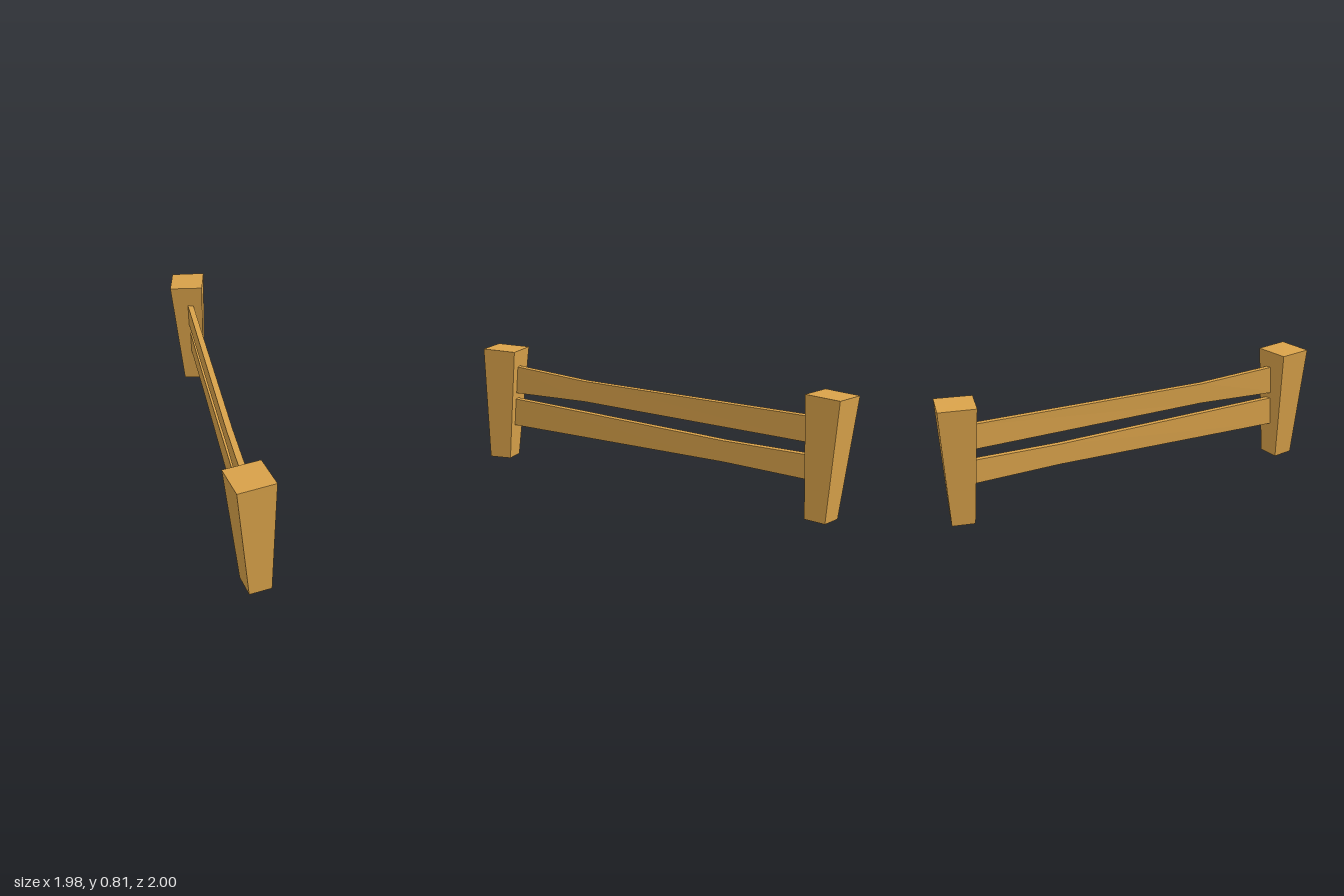
import * as THREE from 'three';

// Joins four-cornered cross-sections into a closed, flat-shaded solid.
// Corners run counter-clockwise as seen from the last section.
function loft(name, sections, material) {
  const pos = [];
  const quad = (a, b, c, d) => [a, b, c, a, c, d].forEach((p) => pos.push(...p));
  for (let i = 0; i < sections.length - 1; i++) {
    const lo = sections[i], hi = sections[i + 1];
    for (let j = 0; j < 4; j++) {
      const k = (j + 1) % 4;
      quad(lo[j], lo[k], hi[k], hi[j]);
    }
  }
  quad(...[...sections[0]].reverse());
  quad(...sections[sections.length - 1]);
  const geometry = new THREE.BufferGeometry();
  geometry.setAttribute('position', new THREE.Float32BufferAttribute(pos, 3));
  geometry.computeVertexNormals();
  const mesh = new THREE.Mesh(geometry, material);
  mesh.name = name;
  return mesh;
}

// A rail station on the fence diagonal: u along it, bottom and top heights,
// and how far the face stands forward at the bottom and the top.
const DEPTH = 0.055;
function station(u, y0, y1, s0, s1) {
  const p = (y, s) => [u + s / 2, y, -u + s / 2];
  return [p(y0, s0), p(y0, s0 - DEPTH), p(y1, s1 - DEPTH), p(y1, s1)];
}

export function createModel() {
  const group = new THREE.Group();
  group.name = 'fence';
  const wood = new THREE.MeshStandardMaterial({ color: 0xd9a24a, flatShading: true });
  wood.name = 'honey wood';

  // Tapered posts, narrower at the foot and slightly tilted
  group.add(loft('rightPost', [
    [[-0.79, 0.038, 0.985], [-0.705, 0.04, 0.86], [-0.82, 0.03, 0.78], [-0.905, 0.033, 0.905]],
    [[-0.80, 0.813, 0.995], [-0.67, 0.805, 0.805], [-0.86, 0.795, 0.675], [-0.99, 0.802, 0.865]],
  ], wood));
  group.add(loft('leftPost', [
    [[0.825, 0.008, -0.695], [0.945, 0.013, -0.775], [0.87, 0.003, -0.895], [0.75, 0.003, -0.815]],
    [[0.79, 0.785, -0.68], [0.985, 0.785, -0.81], [0.86, 0.77, -1.0], [0.667, 0.772, -0.87]],
  ], wood));

  // Crooked planks with their ends buried in the posts
  group.add(loft('upperRail', [
    station(-0.81, 0.50, 0.693, 0.06, 0.05),
    station(-0.37, 0.515, 0.652, 0.055, 0.042),
    station(0.81, 0.473, 0.635, 0.035, 0.025),
  ], wood));
  group.add(loft('lowerRail', [
    station(-0.81, 0.27, 0.462, 0.073, 0.068),
    station(0.36, 0.265, 0.402, 0.064, 0.056),
    station(0.81, 0.243, 0.40, 0.06, 0.05),
  ], wood));
  return group;
}
